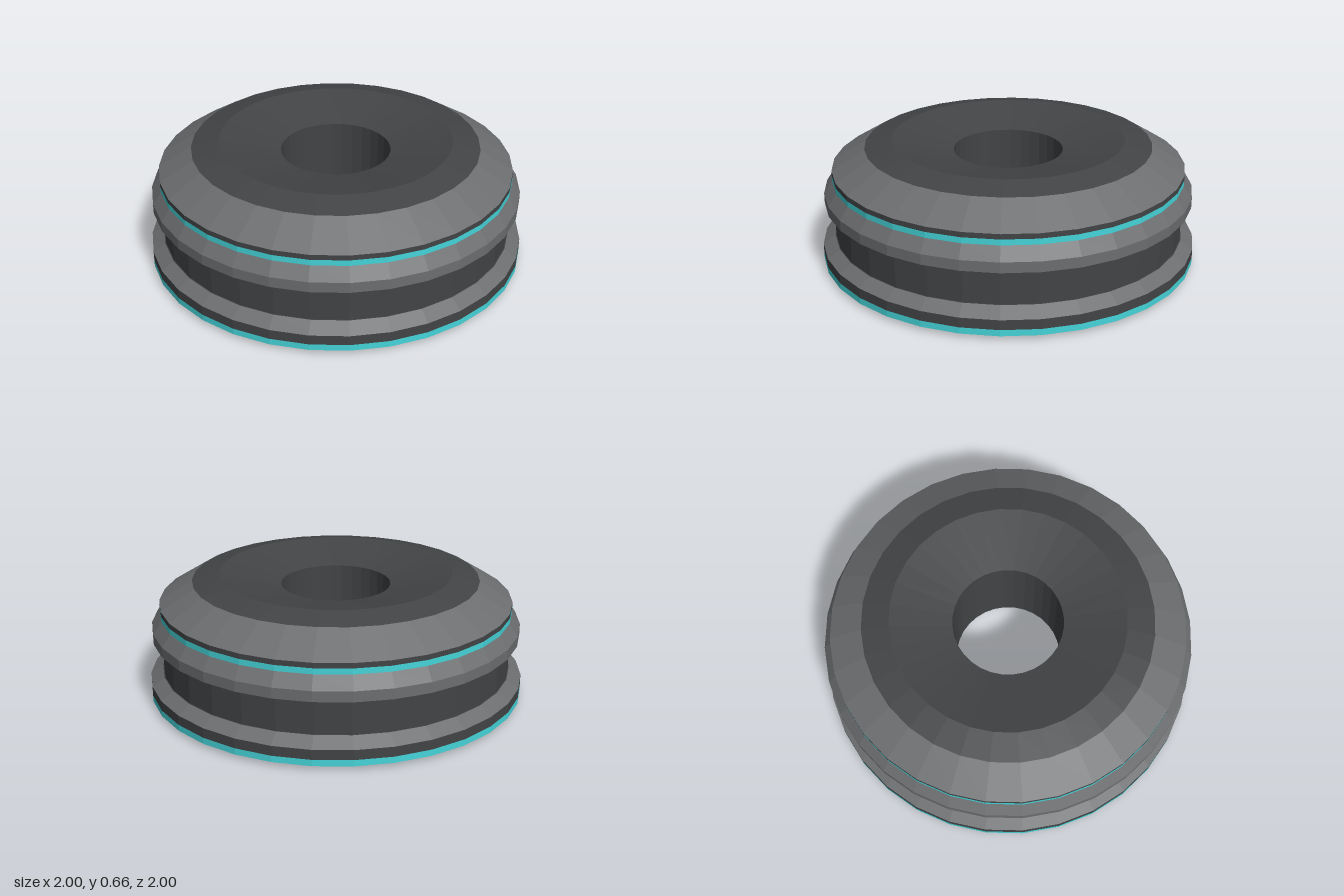
import * as THREE from 'three';

const SIDES = 32;

export function createModel() {
  const model = new THREE.Group();
  model.name = 'groovedWheel';

  const paint = (color) => new THREE.MeshStandardMaterial({ color, flatShading: true });
  const dark = paint(0x424446);
  const grey = paint(0x6c6e70);
  const teal = paint(0x45d5da);

  // Each part is a turned strip; profiles run from the underside outwards and up.
  const turn = (name, material, profile) => {
    const points = profile.map(([r, y]) => new THREE.Vector2(r, y));
    const mesh = new THREE.Mesh(new THREE.LatheGeometry(points, SIDES), material);
    mesh.name = name;
    model.add(mesh);
  };

  // Lower flange with dished underside
  turn('underside', dark, [[0.29, 0.06], [0.63, 0], [1, 0.02]]);
  turn('lowerStripe', teal, [[1, 0.02], [1, 0.053]]);
  turn('lowerRim', dark, [[1, 0.053], [1, 0.105]]);
  turn('lowerBevel', grey, [[1, 0.105], [0.935, 0.15]]);

  // Recessed groove and the overhang above it
  turn('groove', dark, [[0.935, 0.15], [0.93, 0.15], [0.93, 0.335], [0.98, 0.34]]);

  // Upper flange
  turn('upperBevel', grey, [[0.98, 0.34], [0.98, 0.395], [0.935, 0.46]]);
  turn('upperStripe', teal, [[0.935, 0.46], [0.935, 0.49]]);
  turn('upperRim', dark, [[0.935, 0.49], [0.935, 0.517]]);
  turn('shoulder', grey, [[0.935, 0.517], [0.76, 0.625]]);

  // Dished top and through hole
  turn('topFace', dark, [[0.76, 0.625], [0.615, 0.658], [0.29, 0.59]]);
  turn('bore', dark, [[0.29, 0.59], [0.29, 0.06]]);

  return model;
}
